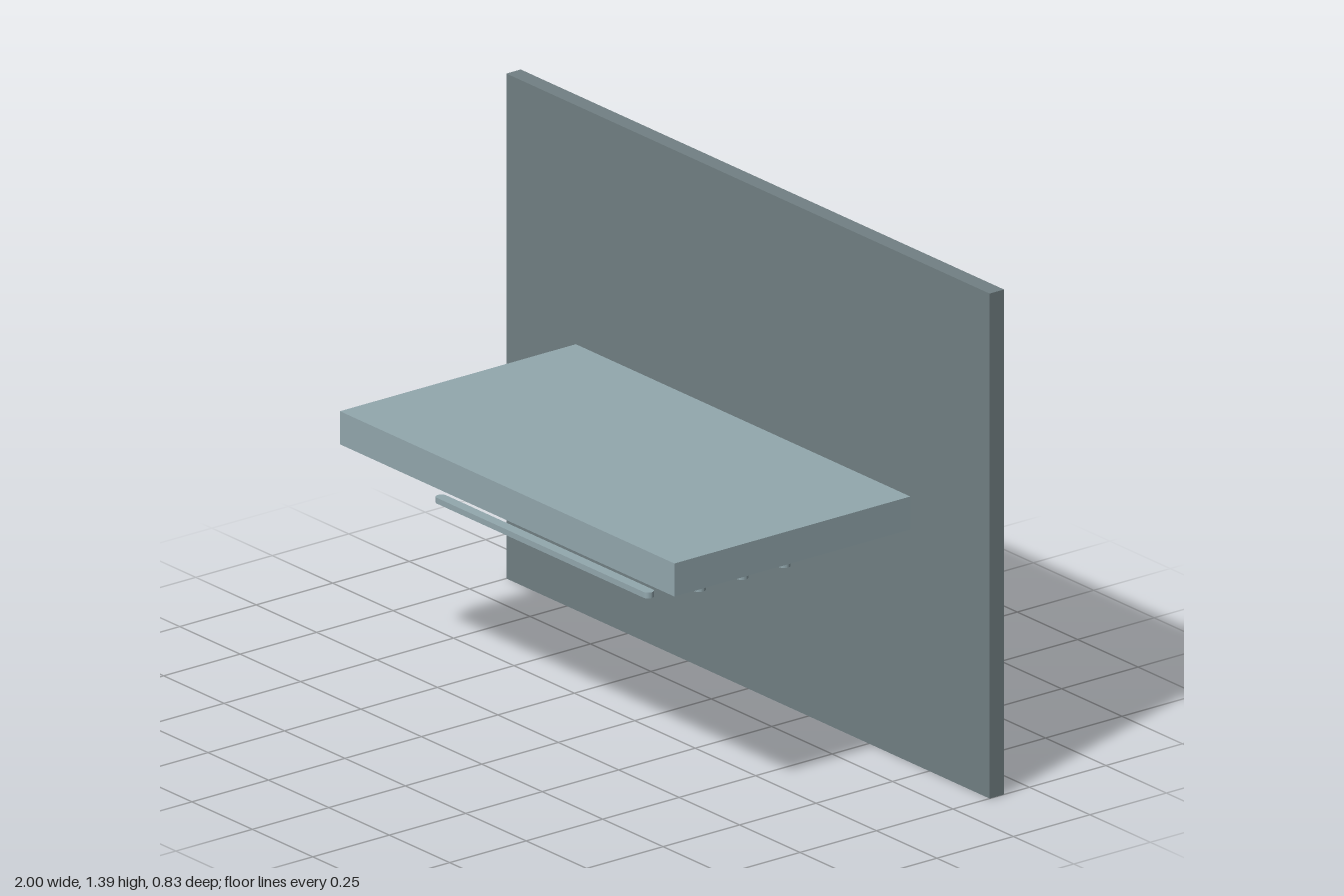
import * as THREE from 'three';

const hoodMat = new THREE.MeshStandardMaterial({ color: 0x93a8ae });
hoodMat.name = 'pale blue grey';
const wallMat = new THREE.MeshStandardMaterial({ color: 0x728084 });
wallMat.name = 'slate grey';

// Box given by its min and max on y and z, centred on x
function slab(name, width, y0, y1, z0, z1, material) {
  const mesh = new THREE.Mesh(new THREE.BoxGeometry(width, y1 - y0, z1 - z0), material);
  mesh.position.set(0, (y0 + y1) / 2, (z0 + z1) / 2);
  mesh.name = name;
  return mesh;
}

// Horizontal bar with rounded ends in plan
function roundedBar(name, width, y0, y1, z, depth) {
  const r = depth / 2, h = width / 2 - r;
  const shape = new THREE.Shape();
  shape.moveTo(-h, -r);
  shape.lineTo(h, -r);
  shape.absarc(h, 0, r, -Math.PI / 2, Math.PI / 2, false);
  shape.lineTo(-h, r);
  shape.absarc(-h, 0, r, Math.PI / 2, Math.PI * 1.5, false);
  const geo = new THREE.ExtrudeGeometry(shape, { depth: y1 - y0, bevelEnabled: false, curveSegments: 8 });
  geo.rotateX(-Math.PI / 2);
  const mesh = new THREE.Mesh(geo, hoodMat);
  mesh.position.set(0, y0, z);
  mesh.name = name;
  return mesh;
}

export function createModel() {
  const model = new THREE.Group();
  model.name = 'wallShelf';

  // Back panel and thick shelf, with a narrow gap between them
  model.add(slab('backPanel', 2, 0, 1.388, -0.417, -0.37, wallMat));
  model.add(slab('shelf', 1.384, 0.65, 0.741, -0.354, 0.417, hoodMat));

  // Strips attached under the shelf
  [0.224, 0.032, -0.161].forEach((z, i) =>
    model.add(roundedBar('underStrip' + (i + 1), 1.224, 0.627, 0.65, z, 0.037)));

  // Loose rails hanging below
  [0.171, 0.032, -0.106].forEach((z, i) =>
    model.add(roundedBar('lowerRail' + (i + 1), 1, 0.547, 0.568, z, 0.034)));
  model.add(roundedBar('frontRail', 0.885, 0.541, 0.557, 0.294, 0.03));

  return model;
}
